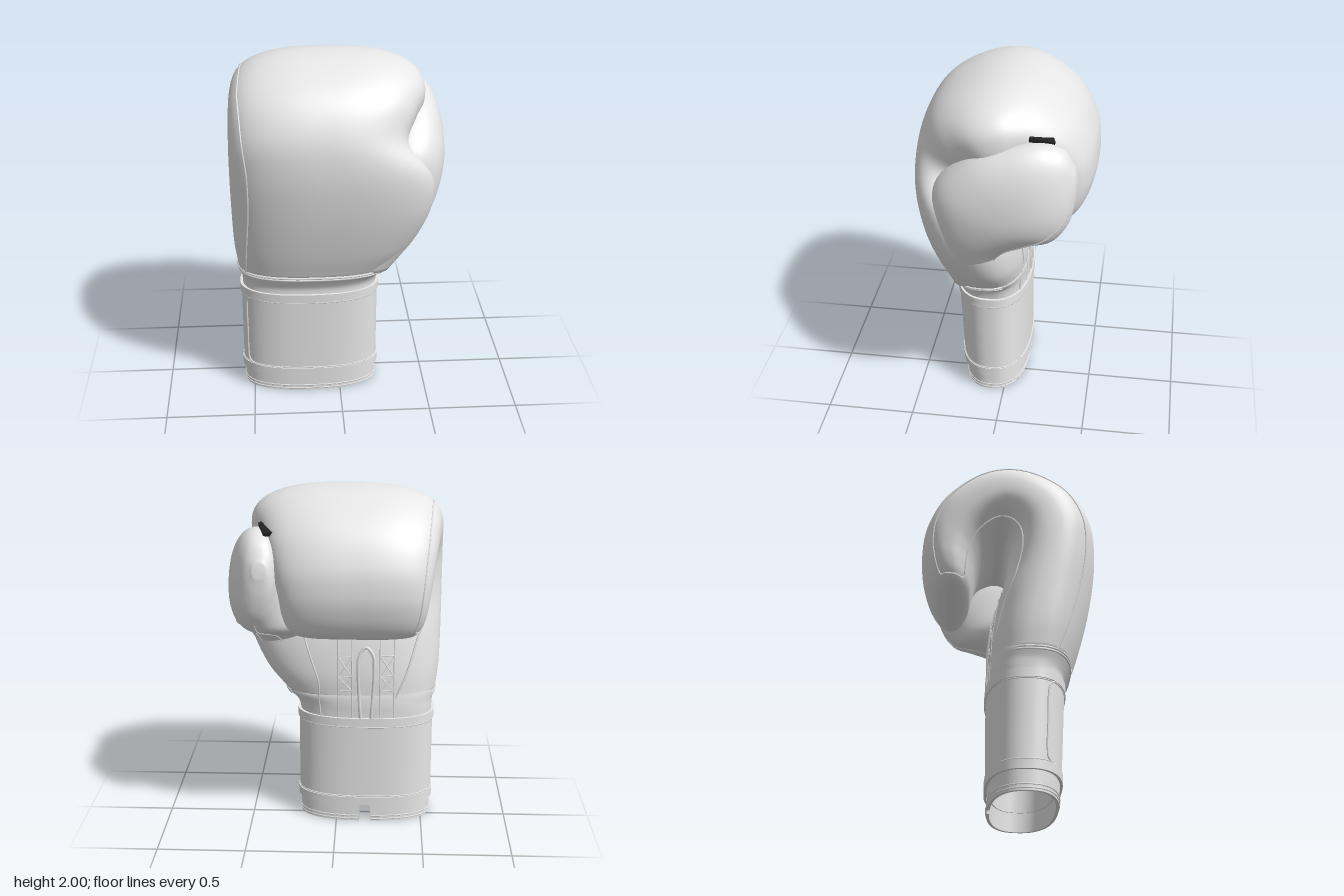
import * as THREE from 'three';
import { toCreasedNormals } from 'three/addons/utils/BufferGeometryUtils.js';

// A station is [outer z, outer y, inner z, inner y, x min, x max]
const BODY = [
  [.34, .78, -.11, .78, -.57, .29], [.40, .95, -.11, .93, -.59, .42], [.465, 1.2, -.085, 1.13, -.597, .512],
  [.50, 1.45, -.04, 1.28, -.599, .50], [.48, 1.66, -.01, 1.38, -.599, .37], [.38, 1.84, 0, 1.47, -.597, .41],
  [.2, 1.955, -.02, 1.53, -.592, .47], [0, 2, -.06, 1.55, -.58, .465], [-.2, 1.955, -.1, 1.53, -.565, .41],
  [-.38, 1.82, -.14, 1.49, -.545, .36], [-.475, 1.65, -.17, 1.44, -.525, .325], [-.497, 1.5, -.19, 1.39, -.51, .30],
  [-.48, 1.385, -.205, 1.33, -.495, .285], [-.445, 1.295, -.22, 1.275, -.47, .26],
  [-.40, 1.24, -.25, 1.235, -.43, .215], [-.35, 1.217, -.295, 1.217, -.35, .14],
];
const THUMB = [
  [.30, .78, .12, .78, .0, .28], [.345, 1.0, .05, .95, .04, .43], [.37, 1.25, -.06, 1.12, .08, .535],
  [.345, 1.5, -.2, 1.19, .13, .585], [.16, 1.68, -.29, 1.23, .22, .596], [-.05, 1.765, -.345, 1.29, .27, .58],
  [-.22, 1.79, -.385, 1.36, .3, .54], [-.34, 1.75, -.41, 1.46, .32, .485], [-.405, 1.65, -.418, 1.57, .36, .43],
];
const NECK = [
  [.30, .64, -.115, .64, -.55, .21], [.30, .69, -.115, .69, -.553, .22], [.318, .73, -.116, .73, -.557, .24],
  [.342, .775, -.114, .775, -.57, .292], [.34, .8, -.11, .8, -.57, .292],
];
const BODY_E = 0.79, CUFF_E = 0.82;

const spow = (v, e) => Math.sign(v) * Math.pow(Math.abs(v), e);

// Returns a function (station, angle) -> point on the rounded cross-section
function surface(st, e) {
  const curve = (f) => new THREE.CatmullRomCurve3(st.map(f), false, 'catmullrom', 0.5);
  const outer = curve((s) => new THREE.Vector3(0, s[1], s[0]));
  const inner = curve((s) => new THREE.Vector3(0, s[3], s[2]));
  const sides = curve((s, i) => new THREE.Vector3(s[4], s[5], i * 0.01));
  return (u, a) => {
    const t = u / (st.length - 1);
    const o = outer.getPoint(t), n = inner.getPoint(t), x = sides.getPoint(t);
    const p = n.clone().lerp(o, 0.5 + 0.5 * spow(Math.cos(a), e));
    p.x = (x.x + x.y) / 2 + (x.y - x.x) / 2 * spow(Math.sin(a), e);
    return p;
  };
}

// Skins a surface with quads; capped ends close with a fan
function loft(surf, last, nu, nv, { a0 = 0, a1 = Math.PI * 2, caps = false } = {}) {
  const pos = [], idx = [];
  const closed = Math.abs(a1 - a0 - Math.PI * 2) < 1e-6;
  const row = closed ? nv : nv + 1;
  for (let i = 0; i <= nu; i++)
    for (let j = 0; j < row; j++) pos.push(...surf(last * i / nu, a0 + (a1 - a0) * j / nv).toArray());
  for (let i = 0; i < nu; i++)
    for (let j = 0; j < nv; j++) {
      const k = (j + 1) % row, a = i * row, b = a + row;
      idx.push(a + j, a + k, b + k, a + j, b + k, b + j);
    }
  if (caps) for (const end of [0, 1]) {
    const c = new THREE.Vector3();
    for (let j = 0; j < row; j++) c.add(surf(end * last, a0 + (a1 - a0) * j / nv));
    c.divideScalar(row);
    pos.push(...c.toArray());
    const m = pos.length / 3 - 1, s = end * nu * row;
    for (let j = 0; j < nv; j++) {
      const k = (j + 1) % row;
      if (end) idx.push(s + j, s + k, m); else idx.push(s + k, s + j, m);
    }
  }
  const g = new THREE.BufferGeometry();
  g.setAttribute('position', new THREE.Float32BufferAttribute(pos, 3));
  g.setIndex(idx);
  g.computeVertexNormals();
  return g;
}

// Keeps stepped edges sharp
function crease(g) {
  g.scale(100, 100, 100);
  return toCreasedNormals(g, 0.7).scale(0.01, 0.01, 0.01);
}

export function createModel() {
  const model = new THREE.Group();
  const leather = new THREE.MeshStandardMaterial({ color: 0xe8e8e8 });
  leather.name = 'light grey leather';
  leather.side = THREE.DoubleSide;
  const black = new THREE.MeshStandardMaterial({ color: 0x222222 });
  black.name = 'black webbing';

  const add = (name, geo, mat = leather) => {
    const m = new THREE.Mesh(geo, mat);
    m.name = name;
    model.add(m);
    return m;
  };
  const seam = (name, pts, r = 0.005, closed = false) =>
    add(name, new THREE.TubeGeometry(new THREE.CatmullRomCurve3(pts, closed), pts.length * 4, r, 5, closed));
  const range = (n, f) => Array.from({ length: n }, (_, i) => f(i / (n - 1)));

  // Padded fist and thumb
  const body = surface(BODY, BODY_E), thumb = surface(THUMB, 0.88);
  add('fist', loft(body, 15, 105, 72, { caps: true }));
  add('thumb', loft(thumb, 8, 64, 56, { caps: true }));

  // Side panel seam runs over the knuckles, round the fingertips and back down the palm
  const bow = (u) => (u < 5.5 ? 0.17 * Math.sin(Math.PI * u / 5.5) : 0);
  seam('sidePanelSeam', [
    ...range(40, (t) => body(13 * t, bow(13 * t) - 1.07)),
    ...range(8, (t) => body(13.4, -1.15 - t)),
    ...range(40, (t) => body(13 * (1 - t), -2.25 - 0.5 * Math.max(0, 1 - 13 * (1 - t) / 2.5))),
  ], 0.006);
  seam('thumbSeam', range(24, (t) => thumb(7 * t, 2.45)));
  seam('thumbInnerSeam', range(16, (t) => thumb(5 * t, 3.1)));

  // Wrist: neck, strap and split lip
  const ring = (y, d) => [.262 + .033 * y / .66 + d, y, -.112 - d, y, -.55 - d, .213 + d];
  const ringMesh = (name, st, opt) => add(name, crease(loft(surface(st, CUFF_E), st.length - 1, st.length - 1, 96, opt)));
  const neck = surface(NECK, BODY_E);
  add('neck', loft(neck, 4, 20, 72));
  ringMesh('wristStrap', [ring(.64, -.02), ring(.11, -.02), ring(.11, .017), ring(.16, .017), ring(.16, .01),
    ring(.61, .01), ring(.61, .017), ring(.66, .017), ring(.66, -.02)]);
  ringMesh('cuffLip', [ring(.13, -.014), ring(0, -.014), ring(0, .002), ring(.13, .002)],
    { a0: Math.PI + 0.05, a1: Math.PI * 3 - 0.05 });

  // Stitch lines around the wrist; the neck seams stop short of the palm
  for (const y of [.605, .165]) {
    const s = surface([ring(y, .011), ring(y + .01, .011)], CUFF_E);
    seam('strapStitch', range(64, (t) => s(0, t * Math.PI * 2 * 63 / 64)), 0.004, true);
  }
  for (const y of [.014, .034]) {
    const s = surface([ring(y, .003), ring(y + .01, .003)], CUFF_E);
    seam('lipStitch', range(64, (t) => s(0, Math.PI + .06 + t * (Math.PI * 2 - .12))), 0.004);
  }
  for (const u of [2.85, 3.25])
    seam('wristSeam', range(48, (t) => neck(u, -1.9 + 3.9 * t)), 0.007);

  // Strap flap: rounded edge on the outer side of the cuff
  const onCuff = (x, y) => {
    const s = ring(y, .011), cx = (s[4] + s[5]) / 2, hx = (s[5] - s[4]) / 2;
    return surface([s, s], CUFF_E)(0, Math.asin(spow((x - cx) / hx, 1 / CUFF_E)));
  };
  seam('flapEdge', [[-.46, .61], [-.50, .607], [-.525, .585], [-.53, .54], [-.53, .385], [-.53, .23],
    [-.525, .185], [-.50, .163], [-.46, .16]].map((p) => onCuff(...p)), 0.006);

  // Points on the palm, from x and station; -1 to 0 runs down the neck to the strap
  const palm = (x, u) => {
    const surf = u < 0 ? neck : body, v = u < 0 ? 3.1 * (u + 1) : u;
    const l = surf(v, -Math.PI / 2).x, r = surf(v, Math.PI / 2).x;
    return surf(v, Math.PI - Math.asin(spow((x - (l + r) / 2) / ((r - l) / 2), 1 / BODY_E)));
  };
  const palmSeam = (name, pts, r) => seam(name, pts.map((p) => palm(...p)), r);

  // Arched palm opening with piping, and crossed stitched tabs on each side
  palmSeam('palmOpening', [[-.2, -.9], [-.205, -.4], [-.21, .2], [-.215, 1], [-.21, 1.5], [-.17, 1.75],
    [-.13, 1.5], [-.125, 1], [-.13, .2], [-.135, -.4], [-.14, -.9]], 0.011);
  for (const x of [-.29, -.05]) {
    for (const d of [-.04, .04])
      palmSeam('tabEdge', range(12, (t) => [x + d, t * 3 - .9]), 0.005);
    for (const u of [.3, .9]) {
      palmSeam('tabCross', range(4, (t) => [x - .04 + .08 * t, u + .6 * t]), 0.004);
      palmSeam('tabCross', range(4, (t) => [x - .04 + .08 * t, u + .6 - .6 * t]), 0.004);
    }
    for (const u of [.3, .9, 1.5])
      palmSeam('tabBar', range(4, (t) => [x - .04 + .08 * t, u]), 0.004);
  }
  palmSeam('palmThumbSeam', [[.09, -.9], [.1, 0], [.1, .6], [.13, 1.2], [.17, 1.8], [.2, 2.4]], 0.006);

  // Small vent eyelets in the palm
  for (let i = 0; i < 5; i++) {
    const e = add('ventEyelet', new THREE.TorusGeometry(0.008, 0.003, 6, 12));
    e.position.copy(palm(-.33 + i * .08, 2.5));
    e.rotation.x = 0.3;
  }

  // Webbing tie between thumb and fist
  const tie = add('thumbTie', new THREE.BoxGeometry(0.06, 0.022, 0.135), black);
  tie.position.set(0.37, 1.793, -0.222);
  tie.rotation.set(-0.25, 0.27, 0);

  return model;
}
